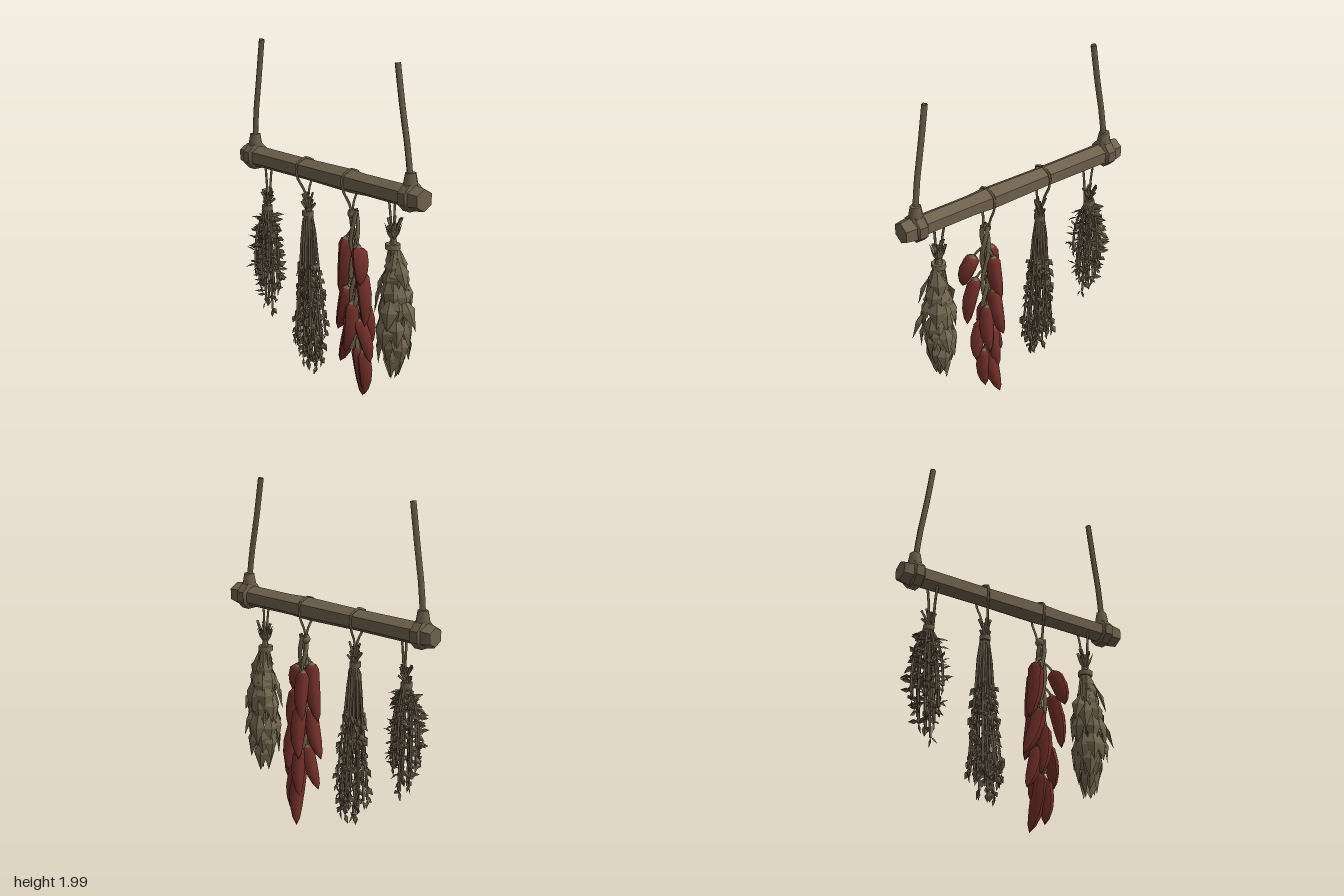
import * as THREE from 'three';
import { mergeGeometries, toCreasedNormals } from 'three/addons/utils/BufferGeometryUtils.js';

const V = (x, y, z) => new THREE.Vector3(x, y, z);
const paint = (name, color) => {
  const m = new THREE.MeshStandardMaterial({ color, side: THREE.DoubleSide });
  m.name = name;
  return m;
};

let seed = 7;
const rnd = (a = 0, b = 1) => {
  seed = (seed * 16807) % 2147483647;
  return a + (b - a) * (seed / 2147483647);
};

// Reduce a geometry to bare positions and normals so parts can be merged
function plain(g) {
  const n = g.index ? g.toNonIndexed() : g;
  n.deleteAttribute('uv');
  return n;
}

function tube(points, r, sides = 5, steps = 8) {
  return plain(new THREE.TubeGeometry(new THREE.CatmullRomCurve3(points), steps, r, sides));
}

// Folded pointed leaf growing from p along d, with its ridge raised toward n
function leaf(p, d, n, len, w) {
  d = d.clone().normalize();
  const side = new THREE.Vector3().crossVectors(n, d).normalize();
  const up = new THREE.Vector3().crossVectors(d, side);
  const at = (l, s, h) => p.clone().addScaledVector(d, l * len).addScaledVector(side, s * w).addScaledVector(up, h * w);
  const b = at(0, 0, 0), c = at(0.5, 0, 0.22), t = at(1, 0, -0.1), l = at(0.45, -0.5, 0), r = at(0.45, 0.5, 0);
  const g = new THREE.BufferGeometry().setFromPoints([b, c, l, l, c, t, b, r, c, c, r, t]);
  g.computeVertexNormals();
  return g;
}

// Round bar lying along x; profile holds [x, radius]
function bar(profile, sides) {
  const g = new THREE.LatheGeometry(profile.map(([x, r]) => new THREE.Vector2(r, x)), sides, Math.PI / sides);
  g.rotateZ(-Math.PI / 2);
  g.translate(0, 1.298, 0.02);
  return toCreasedNormals(g, 0.6);
}

export function createModel() {
  seed = 7;
  const model = new THREE.Group();
  const wood = paint('wood', 0x6f614d);
  const rope = paint('rope', 0x6b5d49);
  const herb = paint('driedHerb', 0x6c5f4b);
  const leafy = paint('driedLeaf', 0x73664f);
  const red = paint('chiliRed', 0x74302a);
  const add = (name, geos, mat, parent = model) => {
    const mesh = new THREE.Mesh(Array.isArray(geos) ? mergeGeometries(geos) : geos, mat);
    mesh.name = name;
    parent.add(mesh);
  };

  // Hexagonal beam, uneven along its length with swollen ends
  add('beam', bar([[-0.745, 0], [-0.745, 0.054], [-0.735, 0.062], [-0.69, 0.07], [-0.6, 0.064], [-0.21, 0.062],
    [0.17, 0.068], [0.3, 0.061], [0.6, 0.062], [0.68, 0.071], [0.74, 0.062], [0.74, 0]], 6), wood);

  // Hanging ropes with a collar and knot round the beam
  for (const s of [-1, 1]) {
    const x = s < 0 ? -0.655 : 0.64;
    const end = s < 0 ? -0.565 : 0.547;
    const g = new THREE.Group();
    g.name = s < 0 ? 'rightRope' : 'leftRope';
    model.add(g);
    add('collar', bar([[x - 0.037, 0.062], [x - 0.025, 0.08], [x + 0.025, 0.08], [x + 0.037, 0.062]], 8), rope, g);
    const knot = new THREE.CylinderGeometry(0.03, 0.046, 0.09, 7);
    knot.translate(x, 1.385, 0.022);
    add('knot', knot, rope, g);
    add('strand', tube([V(x, 1.38, 0.025), V(x + (end - x) * 0.2, 1.55, 0.03), V(x + (end - x) * 0.6, 1.76, 0.035),
      V(end, 1.996, 0.038)], 0.0175, 5, 6), rope, g);
  }

  // Cords from the beam to each bundle; the middle two wrap right round the beam
  const loops = [[-0.535, 1.0, -0.54, false], [-0.208, 1.04, -0.18, true], [0.175, 1.1, 0.19, true], [0.5, 1.0, 0.51, false]];
  const cords = [];
  for (const [x, y, bx, wraps] of loops) {
    for (const z of [-1, 1]) {
      const start = wraps ? [V(x, 1.363, 0.02), V(x, 1.335, 0.02 + z * 0.062), V(x, 1.26, 0.02 + z * 0.06)]
        : [V(x + z * 0.012, 1.27, 0.02 + z * 0.035)];
      cords.push(tube([...start, V((x + bx) / 2 + z * 0.008, 1.17, 0.02 + z * 0.022),
        V(bx + z * 0.008, y, 0.02 + z * 0.008)], 0.0085, 4, 12));
    }
  }
  add('cordLoops', cords, rope);

  // One stem: flared cut end, pinched at the tie, then spreading to radius r at height bottom
  function stemPoints(x, a, top, tie, r, bottom, bulge, lean = 0) {
    const at = (rad, y, turn = 0, shift = 0) => V(x + shift + Math.cos(a + turn) * rad, y, 0.015 + Math.sin(a + turn) * rad * 0.85);
    return [at(rnd(0.02, 0.05), top, 2.6), at(0.02, tie), at(r * bulge, (tie * 1.1 + bottom * 0.9) / 2), at(r, bottom, 0, lean)];
  }
  function tieBand(x, y, r) {
    const g = new THREE.CylinderGeometry(r, r, 0.03, 8);
    g.translate(x, y, 0.02);
    return plain(g);
  }

  // Sprig bundles: thin stems covered in small leaves
  function sprigs({ name, x, tie, top, stems, spread, ends, bulge, from, perStem, size, width, droop, lean }) {
    const parts = [tieBand(x, tie, 0.032)];
    for (let i = 0; i < stems; i++) {
      const k = Math.sqrt((i + 0.5) / stems);
      const a = i * 2.4;
      const bottom = ends[0] + (ends[1] - ends[0]) * k * k + rnd(-0.04, 0.04);
      const pts = stemPoints(x, a, top - rnd(0, 0.09), tie, spread * k, bottom, bulge, lean * (1 - k));
      parts.push(tube(pts, 0.0085, 4, 7));
      const curve = new THREE.CatmullRomCurve3(pts);
      for (let j = 0; j < perStem; j++) {
        const p = curve.getPoint(from + (1 - from) * (j + rnd()) / perStem);
        const b = a + rnd(-1.9, 1.9);
        const n = V(Math.cos(b), 0.3, Math.sin(b));
        const d = V(Math.cos(b), -droop + rnd(-0.6, 0.6), Math.sin(b));
        parts.push(leaf(p, d, V(-n.z + rnd(-0.5, 0.5), 1, n.x), size * rnd(0.7, 1.2), size * width));
      }
      parts.push(leaf(pts[3], V(rnd(-0.3, 0.3), -1, rnd(-0.3, 0.3)), V(Math.cos(a), 0, Math.sin(a)), size, size * width));
    }
    add(name, parts, herb);
  }
  sprigs({ name: 'shortHerbBundle', x: -0.555, tie: 1.0, top: 1.12, stems: 18, spread: 0.098, ends: [0.41, 0.65],
    bulge: 0.85, from: 0.4, perStem: 11, size: 0.06, width: 0.5, droop: 0.25, lean: 0.02 });
  sprigs({ name: 'longHerbBundle', x: -0.188, tie: 1.04, top: 1.17, stems: 19, spread: 0.105, ends: [0.15, 0.3],
    bulge: 0.6, from: 0.6, perStem: 11, size: 0.06, width: 0.62, droop: 1.4, lean: 0.06 });

  // Broad-leaf bundle: overlapping rings of long leaves
  const cx = 0.525;
  const broad = [tieBand(0.51, 1.0, 0.042)];
  for (let i = 0; i < 12; i++) {
    broad.push(tube(stemPoints(0.51, i * 2.4, 1.17 - rnd(0, 0.08), 1.0, 0.05, 0.55, 0.9), 0.01, 4, 6));
  }
  for (let i = 0; i < 7; i++) {
    const a = i * 0.9;
    broad.push(leaf(V(0.51, 1.02, 0.02), V(Math.cos(a) * 0.5, 1, Math.sin(a) * 0.5), V(Math.cos(a), 0, Math.sin(a)), 0.12, 0.035));
  }
  const rings = [[0.99, 0.02, 6], [0.91, 0.038, 7], [0.82, 0.055, 8], [0.73, 0.068, 8], [0.64, 0.073, 9],
    [0.55, 0.07, 8], [0.47, 0.04, 6]];
  rings.forEach(([y, r, count], row) => {
    for (let i = 0; i < count; i++) {
      const a = (i + (row % 2) / 2) / count * Math.PI * 2 + rnd(-0.2, 0.2);
      const out = V(Math.cos(a), 0, Math.sin(a));
      const flare = row > 4 ? rnd(-0.1, 0.1) : rnd(0.06, 0.28);
      const d = out.clone().multiplyScalar(flare).add(V(rnd(-0.08, 0.08), -1, rnd(-0.08, 0.08)));
      broad.push(leaf(V(cx + out.x * r, y + rnd(-0.03, 0.03), 0.015 + out.z * r), d, out, rnd(0.18, 0.23), rnd(0.08, 0.11)));
    }
  });
  // Stray leaves standing away from the bundle
  for (const [x, y, z, dx, dz] of [[0.6, 0.74, 0.03, 0.65, 0], [0.54, 0.66, -0.05, 0.1, -0.45], [0.56, 0.95, 0.03, 0.5, 0.1],
    [0.47, 0.87, 0.03, -0.35, 0.1]]) {
    broad.push(leaf(V(x, y, z), V(dx, -1, dz), V(dx, 0.3, dz + 0.3), 0.19, 0.08));
  }
  add('broadLeafBundle', broad, leafy);

  // Chili string: twisted cords with peppers hung at stepped heights
  const chili = new THREE.Group();
  chili.name = 'chiliString';
  model.add(chili);
  const strings = [];
  for (let i = 0; i < 3; i++) {
    const pts = [];
    for (let j = 0; j <= 9; j++) {
      const a = i * 2.1 + j * 1.1;
      pts.push(V(0.2 + Math.cos(a) * 0.02, 1.14 - j * 0.09, 0.015 + Math.sin(a) * 0.02));
    }
    strings.push(tube(pts, 0.013, 5, 20));
  }
  const knot = new THREE.IcosahedronGeometry(0.026, 1);
  knot.translate(0.185, 1.115, 0.02);
  strings.push(plain(knot));

  // Each pepper: shoulder x, y, z then tip x, y, z and radius
  const peppers = [
    [0.15, 0.97, 0.03, 0.10, 0.63, 0.03, 0.046], [0.265, 0.94, 0.04, 0.315, 0.74, 0.08, 0.048],
    [0.265, 0.8, 0.02, 0.315, 0.49, 0.04, 0.042], [0.17, 0.69, 0.04, 0.07, 0.41, 0.02, 0.044],
    [0.2, 0.6, 0.03, 0.165, 0.3, 0.05, 0.044], [0.17, 0.47, 0.01, 0.09, 0.22, 0.02, 0.042],
    [0.235, 0.5, 0.01, 0.3, 0.26, -0.02, 0.042], [0.205, 0.33, -0.01, 0.175, 0.004, -0.08, 0.046],
    [0.24, 0.31, -0.02, 0.245, 0.05, -0.03, 0.042], [0.17, 0.93, -0.02, 0.145, 0.65, -0.06, 0.042],
    [0.18, 0.72, -0.035, 0.15, 0.42, -0.085, 0.044], [0.225, 0.62, -0.03, 0.24, 0.33, -0.08, 0.042],
    [0.19, 0.46, -0.03, 0.17, 0.18, -0.06, 0.042]];
  const profile = [[0, 0], [0.6, 0.01], [0.95, 0.1], [1, 0.4], [0.85, 0.65], [0.5, 0.87], [0, 1]];
  const pods = [];
  for (const [x, y, z, tx, ty, tz, r] of peppers) {
    const base = V(x, y, z);
    const dir = V(tx, ty, tz).sub(base);
    const len = dir.length();
    const q = new THREE.Quaternion().setFromUnitVectors(V(0, -1, 0), dir.normalize());
    const place = g => plain(g.applyQuaternion(q).translate(x, y, z));
    const g = new THREE.LatheGeometry(profile.map(([w, t]) => new THREE.Vector2(w * r, -t * len)), 6);
    const pos = g.attributes.position;
    for (let i = 0; i < pos.count; i++) {
      const t = -pos.getY(i) / len;
      pos.setX(i, pos.getX(i) + 0.05 * len * Math.sin(t * Math.PI));
    }
    g.computeVertexNormals();
    pods.push(place(g));
    strings.push(place(new THREE.ConeGeometry(r * 0.5, 0.025, 6).translate(0, 0.008, 0)));
    strings.push(tube([base, V((x + 0.2) / 2, y + 0.04, z * 0.7), V(0.2, y + 0.06, 0.01)], 0.009, 4, 5));
  }
  add('peppers', pods, red, chili);
  add('chiliStems', strings, leafy, chili);
  return model;
}
